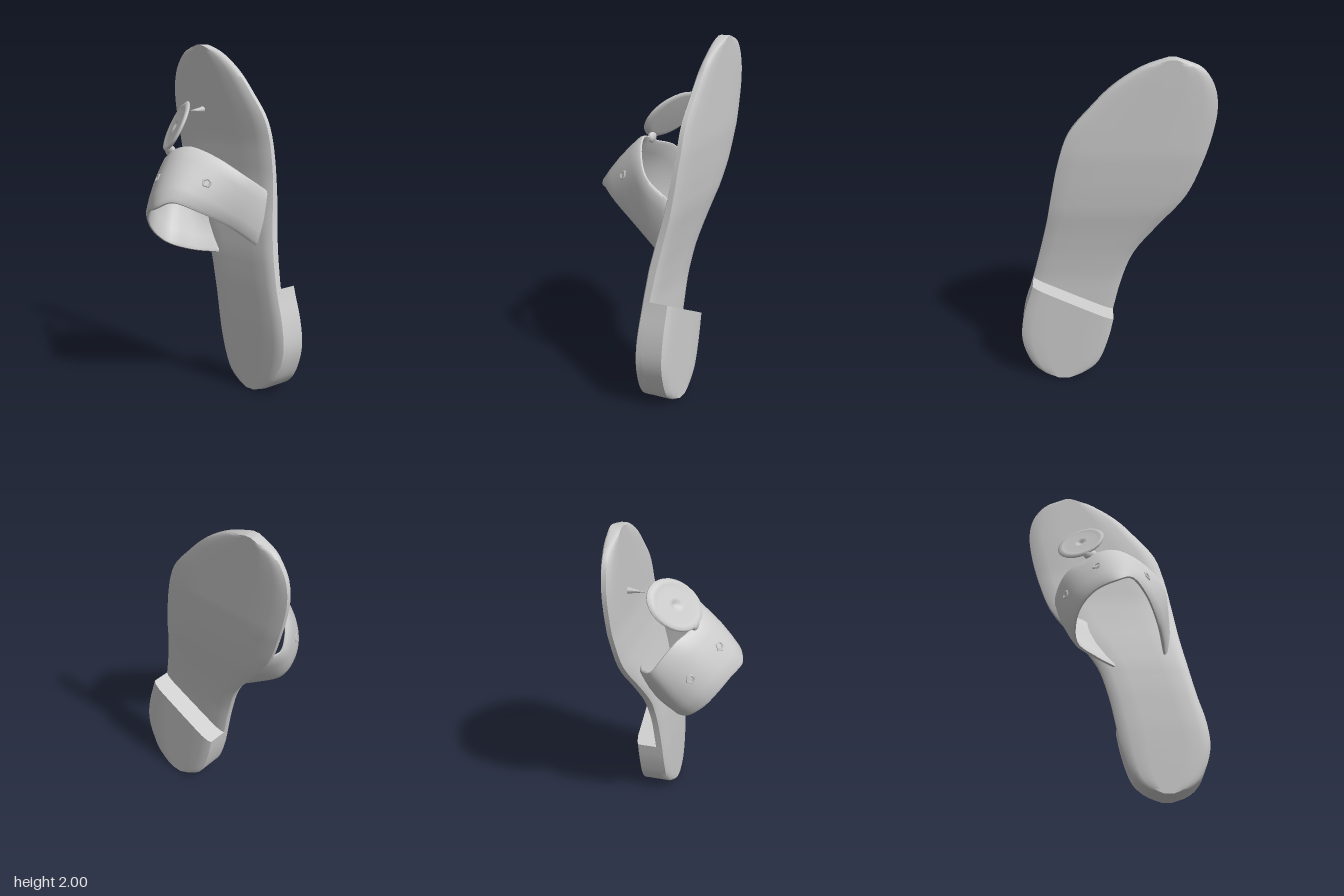
import * as THREE from 'three';
import { toCreasedNormals } from 'three/addons/utils/BufferGeometryUtils.js';

const V = (x, y, z) => new THREE.Vector3(x, y, z);
const curve = (pts) => new THREE.CatmullRomCurve3(pts.map((p) => V(...p)), false, 'centripetal');
const lerp = THREE.MathUtils.lerp;

// Skin a list of closed rings (arrays of Vector3) and close both ends
function loft(rings, crease) {
  const n = rings[0].length, m = rings.length, idx = [];
  for (let i = 0; i < m - 1; i++) {
    for (let j = 0; j < n; j++) {
      const a = i * n + j, b = i * n + (j + 1) % n;
      idx.push(a, b, b + n, a, b + n, a + n);
    }
  }
  // caps run as strips across the two faces of each ring
  for (let j = 0; j < n / 2 - 1; j++) {
    const q = [j, j + 1, n - 2 - j, n - 1 - j], e = (m - 1) * n;
    idx.push(q[0], q[2], q[1], q[0], q[3], q[2]);
    idx.push(e + q[0], e + q[1], e + q[2], e + q[0], e + q[2], e + q[3]);
  }
  const g = new THREE.BufferGeometry().setFromPoints(rings.flat());
  g.setIndex(idx);
  return toCreasedNormals(g, crease);
}

// Piecewise linear lookup in rows sorted by their first entry
function lookup(rows, y) {
  let i = 0;
  while (i < rows.length - 2 && rows[i + 1][0] < y) i++;
  const a = rows[i], b = rows[i + 1];
  const t = THREE.MathUtils.clamp((y - a[0]) / (b[0] - a[0]), 0, 1);
  return a.map((v, k) => lerp(v, b[k], t));
}

// Sole outline: y, right edge x, left edge x
const OUTLINE = curve([
  [0, 0.26, 0.34], [0.03, 0.18, 0.42], [0.1, 0.1, 0.49], [0.27, 0.035, 0.545], [0.43, 0.0, 0.53],
  [0.6, -0.04, 0.48], [0.8, -0.11, 0.43], [1, -0.25, 0.385], [1.2, -0.4, 0.35], [1.4, -0.48, 0.31],
  [1.58, -0.53, 0.25], [1.73, -0.55, 0.13], [1.85, -0.53, 0.015], [1.95, -0.46, -0.13],
  [1.985, -0.38, -0.22], [2, -0.33, -0.28],
]).getPoints(60).map((p) => [p.x, p.y, p.z]);

// Sole thickness: y, upper face z, under face z
const PROFILE = [
  [0, -0.14, -0.215], [0.4, -0.145, -0.22], [0.63, -0.155, -0.228], [0.8, -0.17, -0.248],
  [0.95, -0.195, -0.272], [1.1, -0.225, -0.3], [1.25, -0.25, -0.316], [1.45, -0.268, -0.332], [2, -0.275, -0.338],
];

const ACROSS = [0, 0.04, 0.12, 0.3, 0.5, 0.7, 0.88, 0.96, 1];
const SOFT = [1, 0.4, 0, 0, 0, 0, 0, 0.4, 1];

function soleGeometry() {
  const rings = OUTLINE.map(([y, r, l]) => {
    const [, front, back] = lookup(PROFILE, y);
    const top = ACROSS.map((u, k) => V(lerp(r, l, u), y, front - 0.022 * SOFT[k]));
    const under = ACROSS.map((u, k) => V(lerp(r, l, u), y, back + 0.015 * SOFT[k])).reverse();
    return [...top, ...under];
  });
  return loft(rings, 0.9);
}

// Heel block follows the sole outline and ends in a slanted breast
function heelGeometry() {
  const rings = [];
  for (let i = 0; i <= 20; i++) {
    const y0 = 0.63 * (i / 20) ** 1.5;
    const side = (zAt) => ACROSS.map((u, k) => {
      const y = y0 * (0.64 + 0.36 * u);
      const [, r, l] = lookup(OUTLINE, y);
      return V(lerp(r, l, u), y, zAt(y, k));
    });
    rings.push([
      ...side((y) => lookup(PROFILE, y)[2] + 0.03),
      ...side((y, k) => -0.34 + 0.018 * SOFT[k]).reverse(),
    ]);
  }
  return loft(rings, 0.7);
}

// Upper and lower edges of the strap, from the left end over the arch to the right end
const UPPER = curve([
  [0.31, 1.18, -0.25], [0.28, 1.28, -0.1], [0.15, 1.38, 0], [0, 1.43, 0.06], [-0.1, 1.41, 0.08], [-0.18, 1.37, 0.06],
  [-0.28, 1.33, 0], [-0.345, 1.24, -0.07], [-0.355, 1.17, -0.12], [-0.29, 1.13, -0.19], [-0.18, 1.1, -0.235],
]);
const LOWER = curve([
  [0.295, 0.86, -0.185], [0.25, 0.98, -0.02], [0.17, 1.09, 0.17], [0.085, 1.14, 0.28], [0, 1.1, 0.325], [-0.12, 1.06, 0.28],
  [-0.2, 0.99, 0.22], [-0.235, 0.91, 0.15], [-0.225, 0.83, 0.05], [-0.12, 0.79, -0.05], [0, 0.775, -0.175],
]);

function strapFrame(s) {
  const low = LOWER.getPoint(s), up = UPPER.getPoint(s);
  const along = LOWER.getTangent(s).add(UPPER.getTangent(s));
  const normal = up.clone().sub(low).cross(along).normalize();
  return { normal, at: (v, d) => low.clone().lerp(up, v).addScaledVector(normal, d + 0.07 * v * (1 - v)) };
}

function strapGeometry() {
  const vs = [0, 0.05, 0.25, 0.5, 0.75, 0.95, 1], half = [0.005, 0.013, 0.012, 0.012, 0.012, 0.013, 0.005];
  const rings = [];
  for (let i = 0; i <= 48; i++) {
    const f = strapFrame(i / 48);
    rings.push([...vs.map((v, k) => f.at(v, half[k])), ...vs.map((v, k) => f.at(v, -half[k])).reverse()]);
  }
  return loft(rings, 0.9);
}

// Dished oval disc, leaning back and turned to one side
function medallionGeometry() {
  const profile = [[0, -0.018], [0.115, -0.018], [0.136, -0.01], [0.142, 0.002], [0.132, 0.017], [0.112, 0.017],
    [0.095, 0.01], [0.04, 0.014], [0.024, 0.012], [0.012, -0.002], [0, -0.004]];
  const g = new THREE.LatheGeometry(profile.map(([x, y]) => new THREE.Vector2(x, y)), 28).rotateX(Math.PI / 2);
  g.applyMatrix4(new THREE.Matrix4().set(1, 0, 0, 0, 0, 1, 0, 0, 0.6, -0.65, 1, 0, 0, 0, 0, 1));
  return g;
}

export function createModel() {
  const group = new THREE.Group();
  const material = new THREE.MeshStandardMaterial({ color: 0xcccccc });
  const add = (name, geometry, x = 0, y = 0, z = 0) => {
    const mesh = new THREE.Mesh(geometry, material);
    mesh.name = name;
    mesh.position.set(x, y, z);
    group.add(mesh);
    return mesh;
  };

  add('sole', soleGeometry());
  add('heel', heelGeometry());
  add('strap', strapGeometry());
  add('medallion', medallionGeometry(), -0.215, 1.53, -0.02);

  // Short bridge between strap and medallion
  const neck = add('medallionNeck', new THREE.SphereGeometry(1, 12, 8), -0.155, 1.395, 0.082);
  neck.scale.set(0.042, 0.035, 0.022);

  // Toe peg on the footbed
  add('toePeg', new THREE.ConeGeometry(0.022, 0.11, 6).rotateX(Math.PI / 2), -0.26, 1.61, -0.225);

  // Five-sided eyelets along the strap
  for (const s of [0.2, 0.45, 0.65]) {
    const f = strapFrame(s), p = f.at(0.5, 0.012);
    const eyelet = add('eyelet', new THREE.TorusGeometry(0.024, 0.007, 6, 5), p.x, p.y, p.z);
    eyelet.lookAt(p.clone().add(f.normal));
  }
  return group;
}
